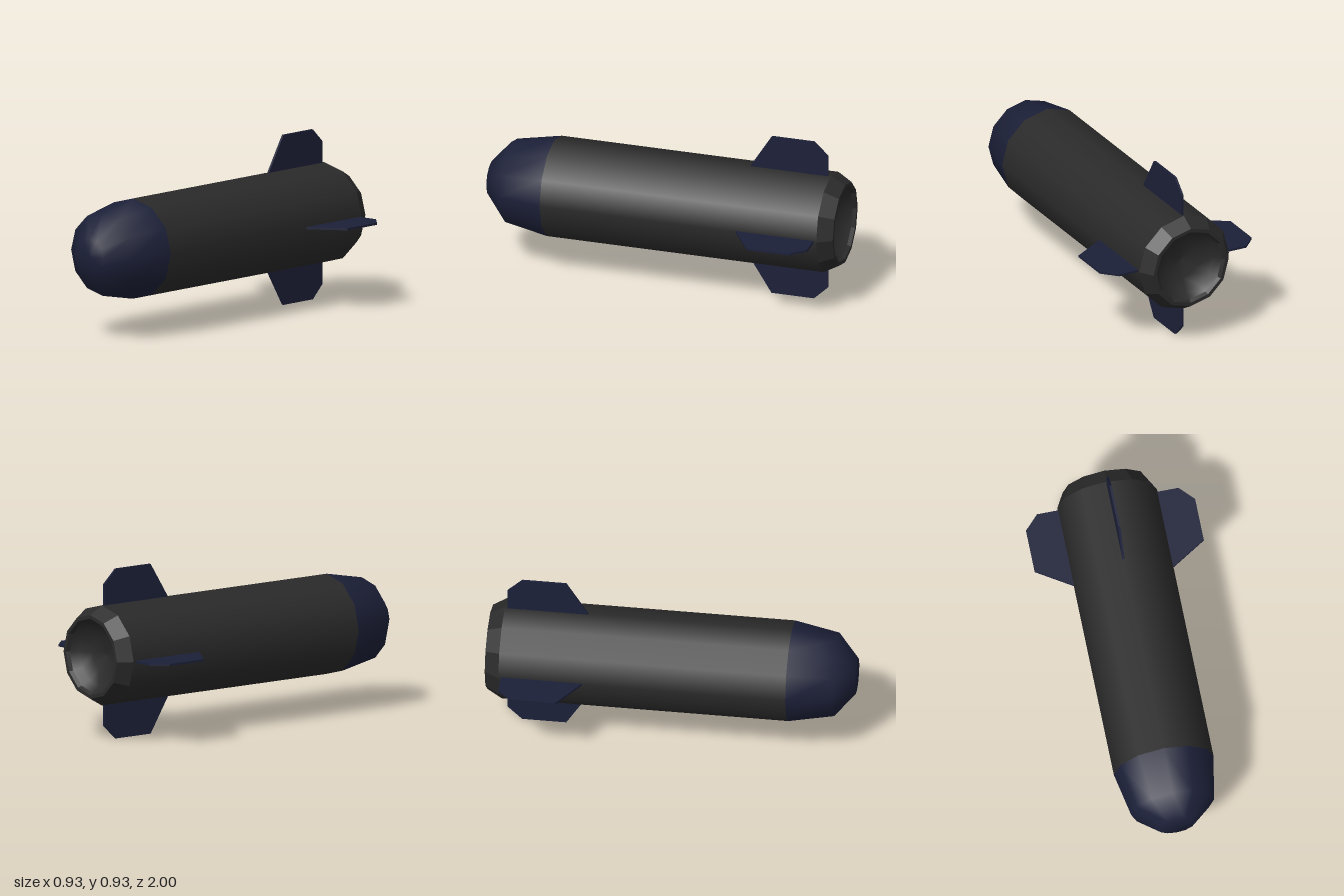
import * as THREE from 'three';

const SIDES = 12;
const AXIS_Y = 0.466;

export function createModel() {
  const model = new THREE.Group();
  model.name = 'finnedBomb';

  const dark = new THREE.MeshStandardMaterial({ color: 0x2a2a2a });
  const darkFlat = new THREE.MeshStandardMaterial({ color: 0x2a2a2a, flatShading: true });
  const navy = new THREE.MeshStandardMaterial({ color: 0x1c2038 });

  // Turned part along z; profile is [radius, z] from the tail forward
  const turned = (name, profile, material) => {
    const points = profile.map(([r, z]) => new THREE.Vector2(r, z));
    const geometry = new THREE.LatheGeometry(points, SIDES);
    geometry.rotateX(Math.PI / 2);
    const mesh = new THREE.Mesh(geometry, material);
    mesh.name = name;
    mesh.position.y = AXIS_Y;
    model.add(mesh);
  };

  turned('body', [[0.275, -0.92], [0.275, 0.645]], dark);
  turned('nose', [[0.275, 0.645], [0.228, 0.89], [0.1, 1], [0, 1]], navy);

  // Chamfered tail rim around a hollow dish
  turned('tailRim', [[0.2, -0.98], [0.21, -1], [0.23, -1], [0.275, -0.92]], darkFlat);
  turned('tailDish', [[0, -0.88], [0.1, -0.9], [0.17, -0.94], [0.2, -0.98]], dark);

  // Four thin tail fins; outline is (z, radius)
  const thickness = 0.012;
  const outline = [
    [-0.465, 0.25], [-0.465, 0.275], [-0.585, 0.466],
    [-0.825, 0.466], [-0.905, 0.39], [-0.905, 0.25],
  ].map(([z, r]) => new THREE.Vector2(z, r));
  const finGeometry = new THREE.ExtrudeGeometry(new THREE.Shape(outline), {
    depth: thickness, bevelEnabled: false,
  });
  finGeometry.translate(0, 0, -thickness / 2);
  finGeometry.rotateY(-Math.PI / 2);

  ['topFin', 'leftFin', 'bottomFin', 'rightFin'].forEach((name, i) => {
    const fin = new THREE.Mesh(finGeometry, navy);
    fin.name = name;
    fin.position.y = AXIS_Y;
    fin.rotation.z = -i * Math.PI / 2;
    model.add(fin);
  });

  return model;
}
